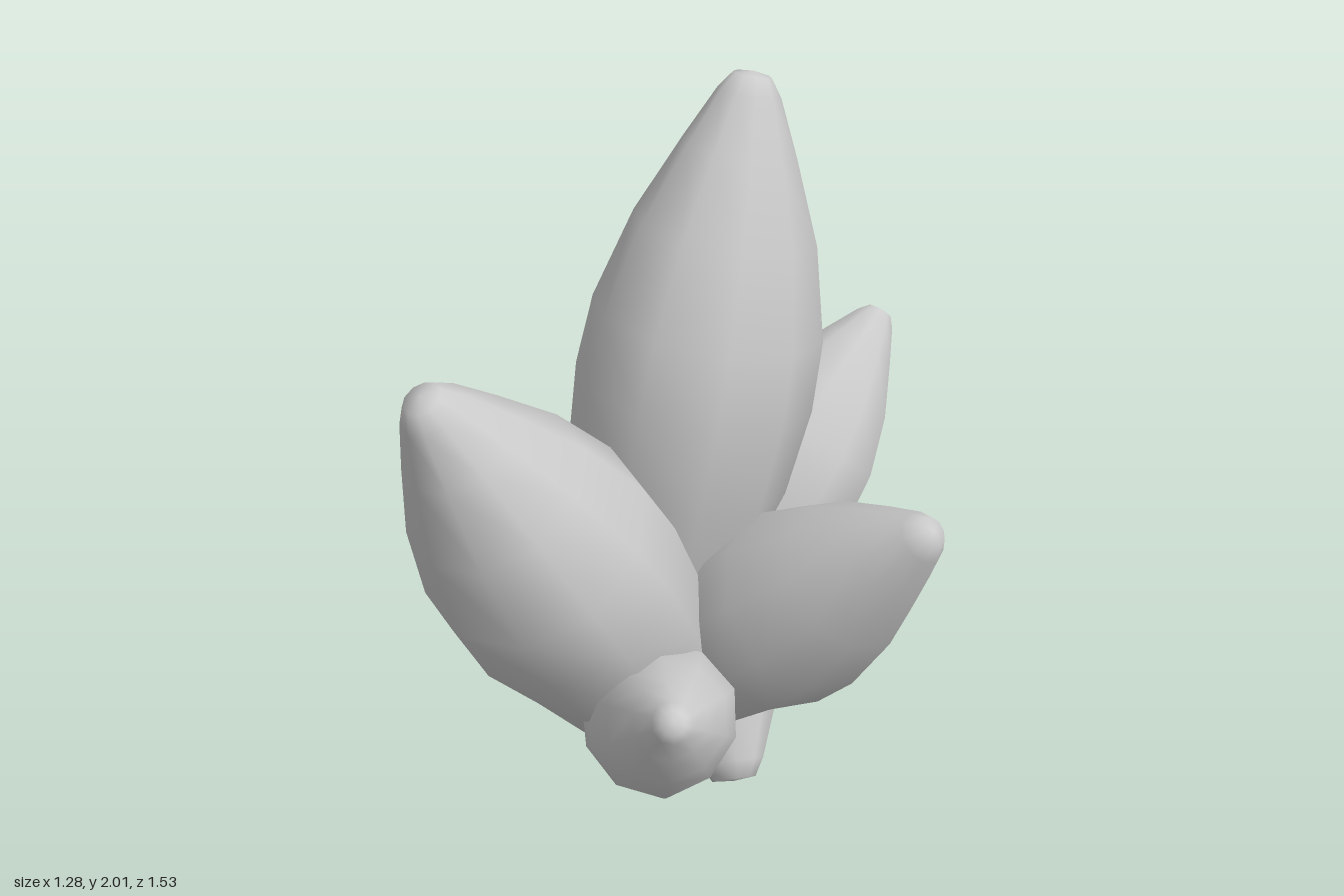
import * as THREE from 'three';
import { mergeVertices } from 'three/addons/utils/BufferGeometryUtils.js';

// Shared crystal outline: [position along the axis, share of the full radius]
const PROFILE = [
  [0, 0], [0.004, 0.24], [0.04, 0.35], [0.2, 0.68], [0.38, 0.94], [0.52, 1],
  [0.63, 0.96], [0.77, 0.75], [0.89, 0.46], [0.97, 0.25], [0.995, 0.15], [1, 0],
];
const SIDES = 10;

// name, base point, tip point, radius
const CRYSTALS = [
  ['mainCrystal', [-0.14, 0.3, 0.01], [0.155, 2.0, -0.165], 0.318],
  ['frontRightCrystal', [-0.01, 0.12, -0.01], [-0.56, 1.48, 0.62], 0.315],
  ['frontLeftCrystal', [-0.19, 0.11, -0.22], [0.605, 1.07, 0.455], 0.265],
  ['frontCrystal', [-0.12, 0.17, -0.02], [0.0, 0.71, 0.75], 0.205],
  ['backCrystal', [0.14, 0.03, 0.11], [-0.08, 1.07, -0.74], 0.262],
  ['backLeftCrystal', [-0.05, 0.27, -0.15], [0.545, 1.17, -0.66], 0.245],
  ['backRightCrystal', [0.06, 0.24, 0.0], [-0.6, 0.94, -0.27], 0.195],
];

function crystalGeometry(length, radius, seed) {
  const points = PROFILE.map(([t, r]) => new THREE.Vector2(r * radius, t * length));
  let geometry = new THREE.LatheGeometry(points, SIDES);
  const pos = geometry.attributes.position;
  for (let i = 0; i < pos.count; i++) {
    const x = pos.getX(i), y = pos.getY(i), z = pos.getZ(i);
    const angle = Math.atan2(x, z), t = y / length;
    // gentle unevenness around the body
    let k = 1 + 0.02 * Math.sin(angle * 3 + seed * 2 + t * 4);
    // small dent on the outer underside
    if (Math.abs(angle) < 0.1 && Math.abs(t - 0.38) < 0.02) k -= 0.1;
    pos.setXYZ(i, x * k, y, z * k);
  }
  geometry.deleteAttribute('uv');
  geometry.deleteAttribute('normal');
  geometry = mergeVertices(geometry, 1e-4);
  geometry.computeVertexNormals();
  return geometry;
}

export function createModel() {
  const group = new THREE.Group();
  group.name = 'crystalCluster';
  const material = new THREE.MeshStandardMaterial({ color: 0xcccccc });

  CRYSTALS.forEach(([name, from, to, radius], i) => {
    const base = new THREE.Vector3(...from);
    const axis = new THREE.Vector3(...to).sub(base);
    const mesh = new THREE.Mesh(crystalGeometry(axis.length(), radius, i), material);
    mesh.name = name;
    // local y follows the axis, local z faces the underside
    const up = axis.clone().normalize();
    const side = new THREE.Vector3().crossVectors(up, new THREE.Vector3(0, -1, 0)).normalize();
    const under = new THREE.Vector3().crossVectors(side, up);
    mesh.quaternion.setFromRotationMatrix(new THREE.Matrix4().makeBasis(side, up, under));
    mesh.position.copy(base);
    group.add(mesh);
  });
  return group;
}
